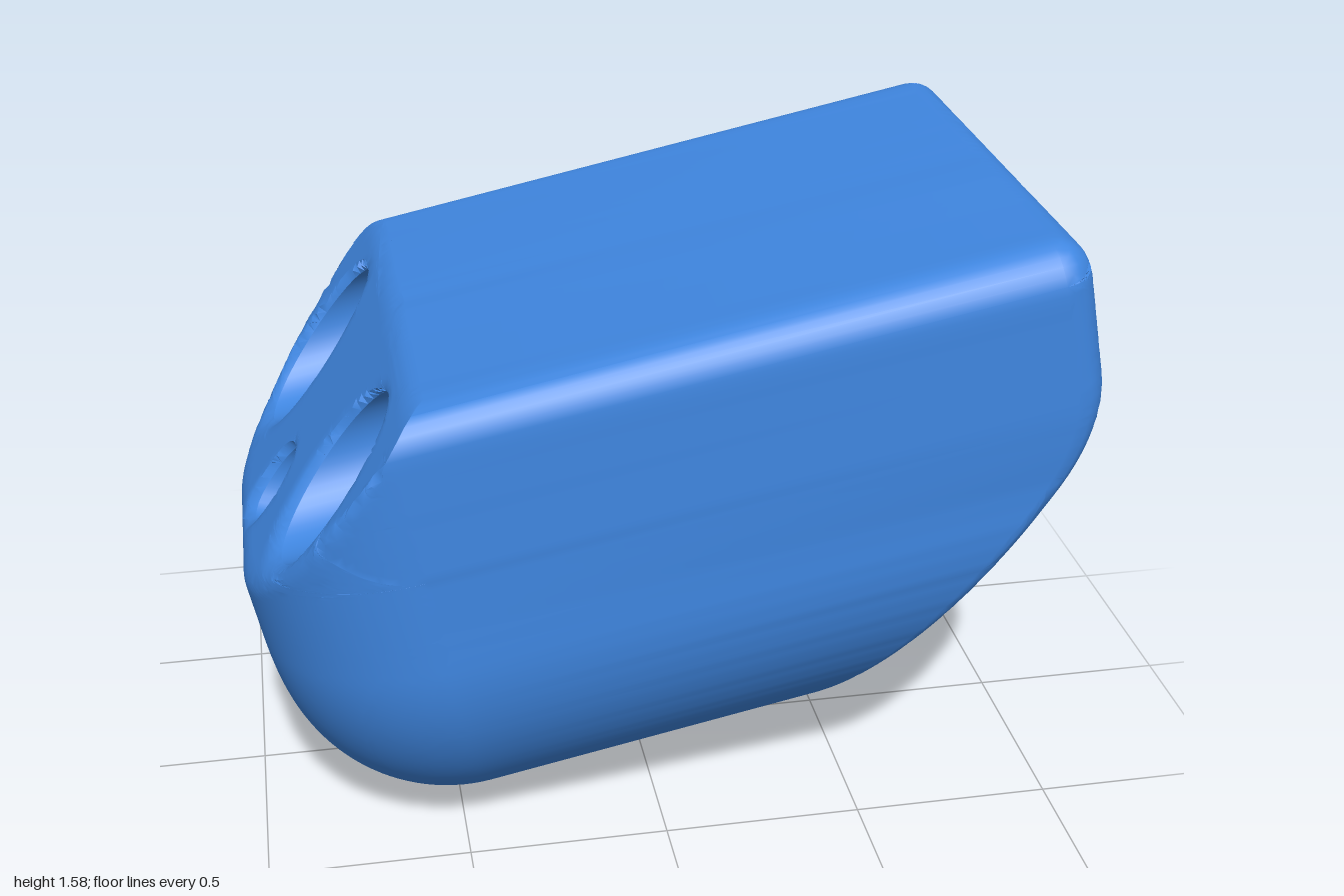
import * as THREE from 'three';
import { toCreasedNormals } from 'three/addons/utils/BufferGeometryUtils.js';

// Section frame: u runs along the tilted body, v is across it, z is sideways.
const TILT = 0.197, W = 0.647, TOP = 1.378, MID = 0.73, CORNER = 0.1;
const LEFT = -0.844, RIGHT = 1.216, MAX_EDGE = 0.035;

// Bore openings in each end cap: [z, v, radius]
const bigBores = [[0.375, 1.15, 0.165], [-0.375, 1.15, 0.165]];
const bores = {
  low: [...bigBores, [0.015, 0.985, 0.078]],
  high: [...bigBores, [0.01, 0.295, 0.078]],
};

// Depth lost at distance d from an edge rounded with radius r
const fillet = (d, r) => {
  const k = r - Math.min(Math.max(d, 0), r);
  return r - Math.sqrt(r * r - k * k);
};
const smoothMax = (a, b, k) => {
  const h = Math.max(k - Math.abs(a - b), 0) / k;
  return Math.max(a, b) + h * h * k / 4;
};

// Distance from the U-shaped outline (without its top edge, then with it)
const sideDistance = (z, v) => W - (v < MID ? Math.hypot(z, v - MID) : Math.abs(z));
function rimDistance(z, v) {
  const a = Math.abs(z) - (W - CORNER), b = v - (TOP - CORNER);
  return a > 0 && b > 0 ? CORNER - Math.hypot(a, b) : Math.min(sideDistance(z, v), TOP - v);
}
const boreLip = (z, v, list) =>
  Math.max(...list.map(([bz, bv, r]) => fillet(Math.hypot(z - bz, v - bv) - r, 0.03)));

// End surfaces: each has an upright face, a sloping face and rounded edges
const ends = {
  low: (z, v) => smoothMax(
    LEFT + fillet(sideDistance(z, v), 0.45),
    LEFT + 1.08 * (v - 0.9), 0.04,
  ) + fillet(TOP - v, 0.03) + boreLip(z, v, bores.low),
  high: (z, v) => -smoothMax(-RIGHT, -(0.321 + v), 0.14)
    - fillet(rimDistance(z, v), 0.08) - boreLip(z, v, bores.high),
};

// Places a section point on an end surface, with a slight taper on the back side
function place(p, end) {
  const u = ends[end](p.x, p.y);
  const c = Math.cos(TILT), s = Math.sin(TILT);
  const taper = p.x < 0 ? 0.94 + 0.06 * (u - LEFT) / (RIGHT - LEFT) : 1;
  return new THREE.Vector3(u * c - p.y * s, u * s + p.y * c, p.x * taper);
}

function outline() {
  const shape = new THREE.Shape();
  const k = W - CORNER, t = TOP - CORNER;
  shape.moveTo(W, MID);
  shape.lineTo(W, t);
  shape.absarc(k, t, CORNER, 0, Math.PI / 2, false);
  shape.lineTo(-k, TOP);
  shape.absarc(-k, t, CORNER, Math.PI / 2, Math.PI, false);
  shape.lineTo(-W, MID);
  shape.absarc(0, MID, W, Math.PI, Math.PI * 2, false);
  return shape.getSpacedPoints(200).slice(0, -1);
}

// Clockwise ring, so that its wall faces into the bore
function boreRing([z, v, r]) {
  const n = r > 0.1 ? 48 : 28;
  return Array.from({ length: n }, (_, i) => {
    const a = -i / n * Math.PI * 2;
    return new THREE.Vector2(z + r * Math.cos(a), v + r * Math.sin(a));
  });
}

// Splits a flat triangle until its placed edges are short
function refine(tri, end, out, depth = 0) {
  const pts = tri.map((p) => place(p, end));
  const len = [0, 1, 2].map((i) => pts[i].distanceTo(pts[(i + 1) % 3]));
  const i = len.indexOf(Math.max(...len));
  if (len[i] <= MAX_EDGE || depth > 24) {
    out.push(...(end === 'low' ? pts : pts.reverse()));
    return;
  }
  const a = tri[i], b = tri[(i + 1) % 3], c = tri[(i + 2) % 3];
  const m = a.clone().add(b).multiplyScalar(0.5);
  refine([a, m, c], end, out, depth + 1);
  refine([m, b, c], end, out, depth + 1);
}

function addCap(end, out) {
  const rim = outline(), holes = bores[end].map(boreRing);
  const all = [rim, ...holes].flat();
  for (const f of THREE.ShapeUtils.triangulateShape(rim, holes)) {
    refine(f.map((i) => all[i]), end, out);
  }
}

// Wall joining matching rings on the two ends
function addWall(lowRing, highRing, out) {
  const a = lowRing.map((p) => place(p, 'low'));
  const b = highRing.map((p) => place(p, 'high'));
  a.forEach((p, i) => {
    const j = (i + 1) % a.length;
    out.push(p, b[i], a[j], a[j], b[i], b[j]);
  });
}

function surface(points) {
  const geometry = new THREE.BufferGeometry().setFromPoints(points);
  return toCreasedNormals(geometry, 0.65);
}

export function createModel() {
  const group = new THREE.Group();
  const blue = new THREE.MeshStandardMaterial({ color: 0x3f86e0 });
  blue.name = 'blue';
  const add = (name, points) => {
    const mesh = new THREE.Mesh(surface(points), blue);
    mesh.name = name;
    group.add(mesh);
  };

  // Outer body with both end faces
  const body = [];
  addCap('low', body);
  addCap('high', body);
  addWall(outline(), outline(), body);
  add('body', body);

  // Two wide bores and one narrow slanting bore
  ['leftBore', 'rightBore', 'narrowBore'].forEach((name, i) => {
    const wall = [];
    addWall(boreRing(bores.low[i]), boreRing(bores.high[i]), wall);
    add(name, wall);
  });
  return group;
}
